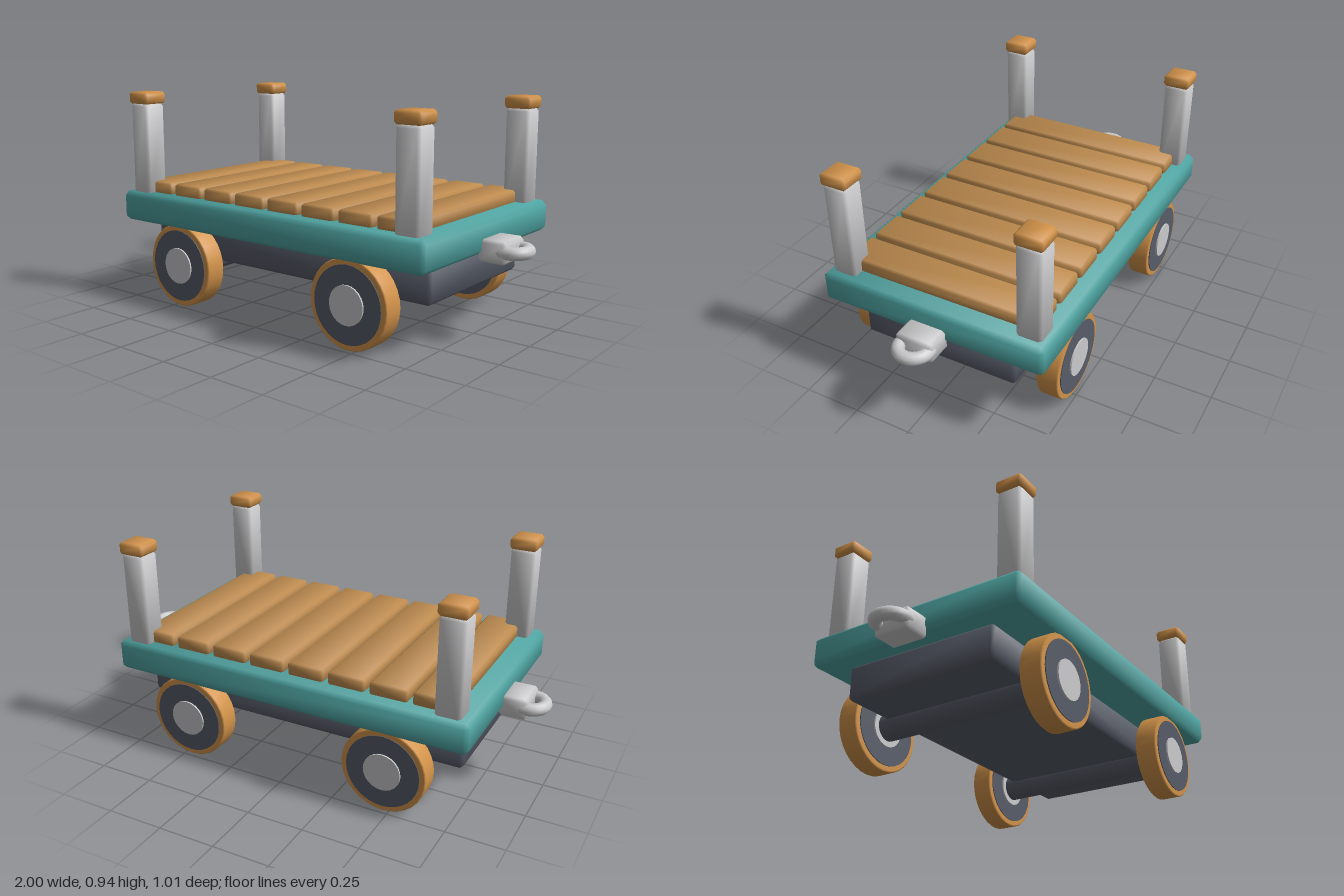
import * as THREE from 'three';
import { ConvexGeometry } from 'three/addons/geometries/ConvexGeometry.js';

const mat = (name, color) => Object.assign(new THREE.MeshStandardMaterial({ color }), { name });

// Box with chamfered edges; corner normals lean outwards for a soft, rounded look
function softBox(w, h, d, bevel) {
  const half = [w / 2, h / 2, d / 2];
  const points = [];
  for (const sx of [-1, 1]) for (const sy of [-1, 1]) for (const sz of [-1, 1]) {
    for (let axis = 0; axis < 3; axis++) {
      const p = [sx, sy, sz].map((s, i) => s * (half[i] - (i === axis ? 0 : bevel)));
      points.push(new THREE.Vector3(...p));
    }
  }
  const geo = new ConvexGeometry(points);
  const pos = geo.attributes.position, nor = geo.attributes.normal;
  const n = new THREE.Vector3();
  for (let i = 0; i < pos.count; i++) {
    const p = [pos.getX(i), pos.getY(i), pos.getZ(i)];
    n.set(...p.map((v, a) => Math.sign(v) * (Math.abs(v) > half[a] - bevel / 2 ? 2.57 : 1))).normalize();
    nor.setXYZ(i, n.x, n.y, n.z);
  }
  return geo;
}

// Chamfered disc around the z axis
function disc(radius, width, bevel) {
  const h = width / 2;
  const profile = [[0, -h], [radius - bevel, -h], [radius, -h + bevel], [radius, h - bevel], [radius - bevel, h], [0, h]];
  return new THREE.LatheGeometry(profile.map(([r, y]) => new THREE.Vector2(r, y)), 32).rotateX(Math.PI / 2);
}

export function createModel() {
  const model = new THREE.Group();
  model.name = 'flatCart';
  const teal = mat('teal paint', 0x4fa5a3);
  const gold = mat('golden wood', 0xd2934a);
  const wood = mat('plank wood', 0xc08d50);
  const dark = mat('dark iron', 0x575c68);
  const grey = mat('light metal', 0xcbcbcd);

  const add = (name, geo, material, x, y, z, parent = model) => {
    const mesh = new THREE.Mesh(geo, material);
    mesh.name = name;
    mesh.position.set(x, y, z);
    parent.add(mesh);
    return mesh;
  };

  // Body
  add('deck', softBox(1.64, 0.133, 1.006, 0.02), teal, 0, 0.4235, 0);
  add('chassis', softBox(1.51, 0.147, 0.7, 0.015), dark, 0, 0.2715, 0);

  // Planks
  const plankGeo = softBox(0.163, 0.06, 0.874, 0.01);
  for (let i = 0; i < 8; i++) add('plank', plankGeo, wood, (i - 3.5) * 0.185, 0.511, 0);

  // Corner posts with caps
  const postGeo = softBox(0.108, 0.42, 0.108, 0.013);
  const capGeo = softBox(0.12, 0.053, 0.12, 0.011);
  for (const x of [-0.723, 0.723]) for (const z of [-0.42, 0.42]) {
    add('post', postGeo, grey, x, 0.683, z);
    add('postCap', capGeo, gold, x, 0.918, z);
  }

  // Axles and wheels
  const axleGeo = new THREE.CylinderGeometry(0.058, 0.058, 0.8, 24).rotateX(Math.PI / 2);
  const tyreGeo = disc(0.185, 0.095, 0.006);
  const faceGeo = new THREE.CylinderGeometry(0.16, 0.16, 0.102, 32).rotateX(Math.PI / 2);
  const hubGeo = new THREE.CylinderGeometry(0.081, 0.081, 0.116, 24).rotateX(Math.PI / 2);
  for (const x of [-0.47, 0.47]) {
    add('axle', axleGeo, dark, x, 0.187, 0);
    for (const z of [-0.438, 0.438]) {
      const wheel = new THREE.Group();
      wheel.name = 'wheel';
      wheel.position.set(x, 0.186, z);
      add('tyre', tyreGeo, gold, 0, 0, 0, wheel);
      add('wheelFace', faceGeo, dark, 0, 0, 0, wheel);
      add('hub', hubGeo, grey, 0, 0, 0, wheel);
      model.add(wheel);
    }
  }

  // Couplers at both ends
  const blockGeo = softBox(0.12, 0.092, 0.165, 0.012);
  const ringGeo = new THREE.TorusGeometry(0.062, 0.027, 12, 28).rotateX(Math.PI / 2);
  for (const side of [-1, 1]) {
    add('couplerBlock', blockGeo, grey, side * 0.86, 0.374, 0);
    add('couplerRing', ringGeo, grey, side * 0.911, 0.375, 0);
  }
  return model;
}
